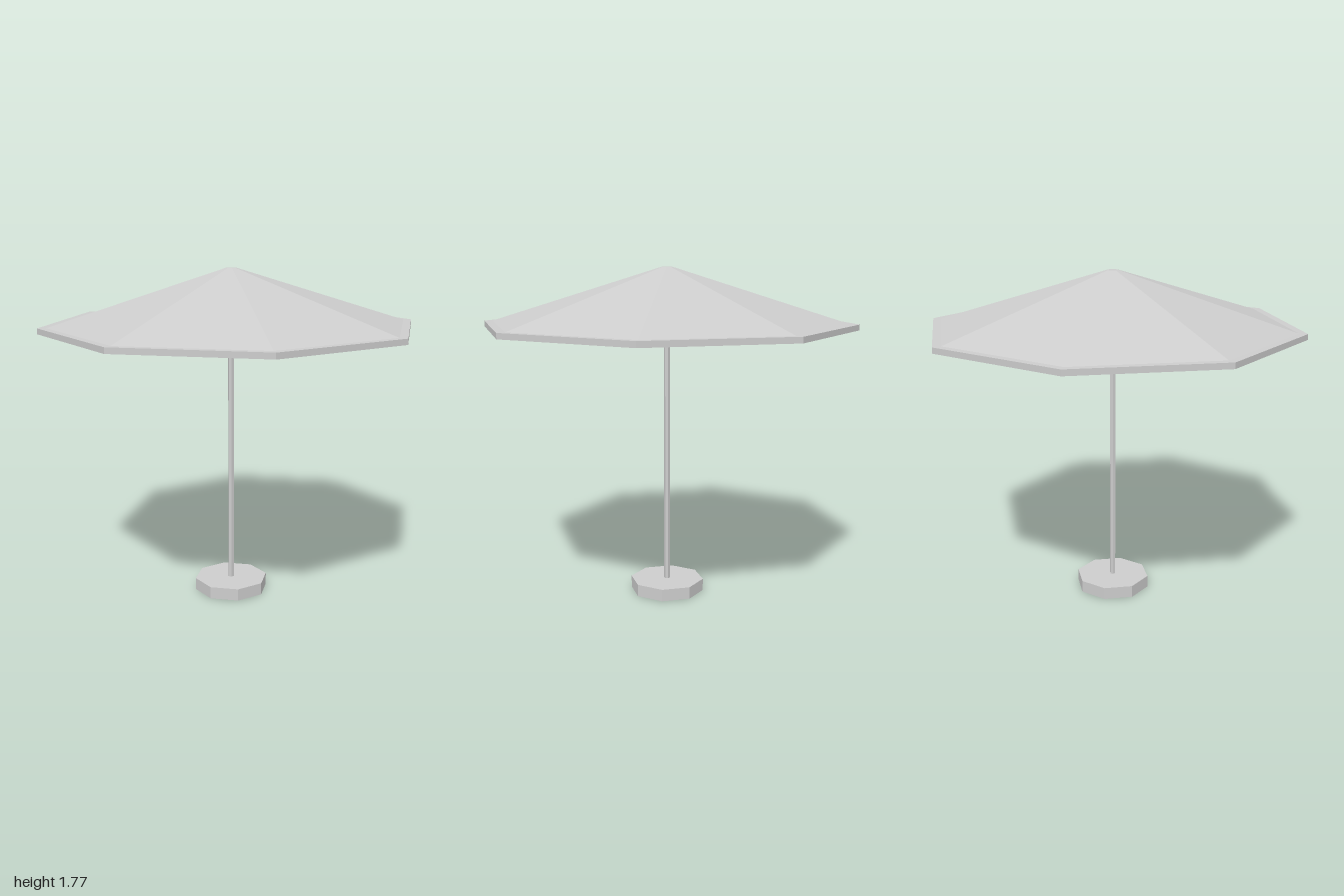
import * as THREE from 'three';

export function createModel() {
  const model = new THREE.Group();
  model.name = 'parasol';

  const lightGrey = new THREE.MeshStandardMaterial({ color: 0xcccccc, flatShading: true });
  lightGrey.name = 'lightGrey';

  // Turns a profile of [radius, height] points into a faceted solid
  function addTurned(name, profile, sides) {
    const points = profile.map(([r, y]) => new THREE.Vector2(r, y));
    const mesh = new THREE.Mesh(new THREE.LatheGeometry(points, sides), lightGrey);
    mesh.name = name;
    model.add(mesh);
  }

  // Octagonal foot
  addTurned('base', [[0, 0], [0.2, 0], [0.2, 0.065], [0, 0.065]], 8);

  // Slim six-sided pole, ending inside the canopy
  addTurned('pole', [[0, 0.06], [0.016, 0.06], [0.016, 1.46], [0, 1.46]], 6);

  // Octagonal canopy: closed underside, upright rim, narrow ledge, sloping roof, small flat tip
  addTurned('canopy', [
    [0, 1.45], [1, 1.45], [1, 1.48], [0.955, 1.48], [0.03, 1.77], [0, 1.77],
  ], 8);

  return model;
}
